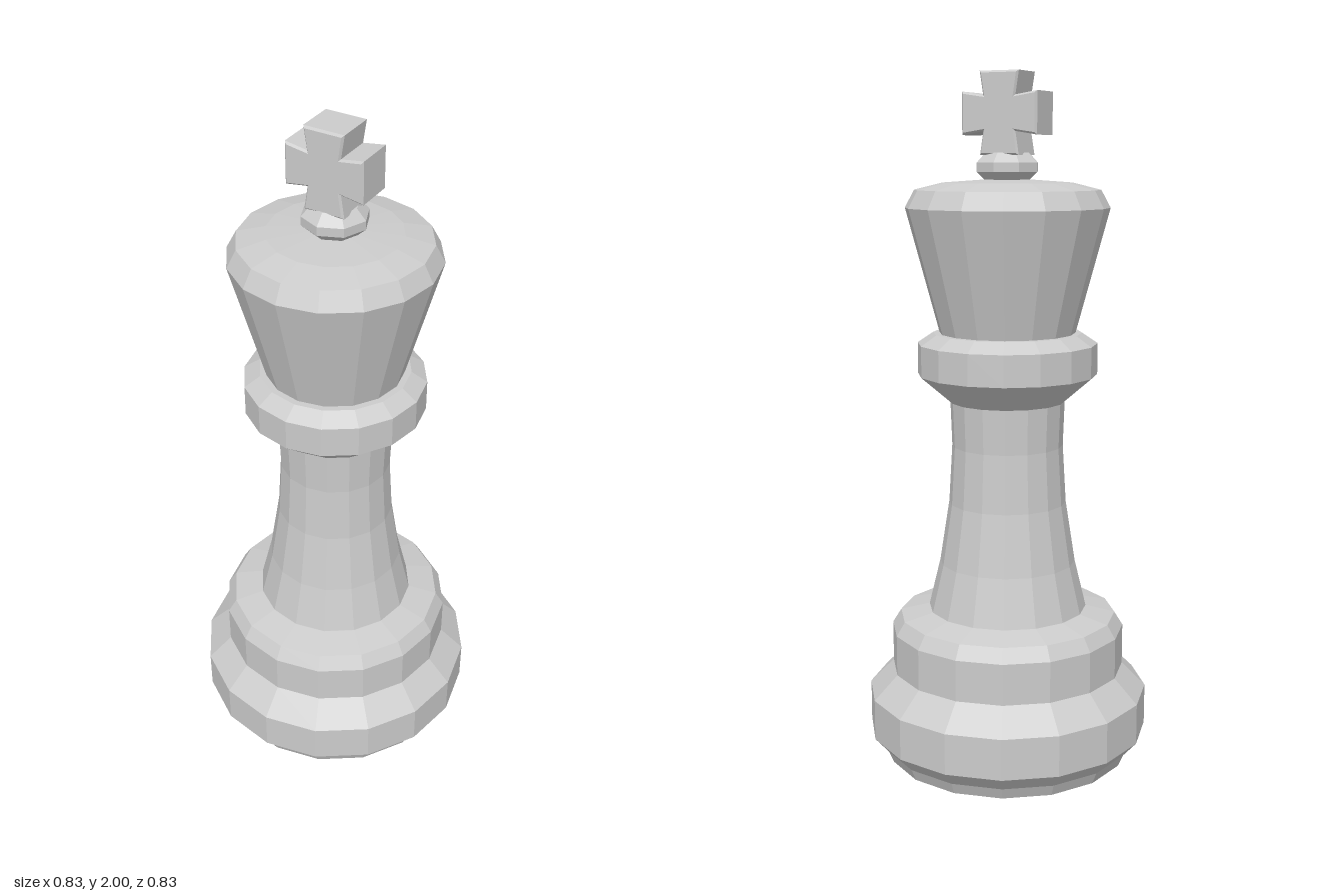
import * as THREE from 'three';

const material = new THREE.MeshStandardMaterial({ color: 0xcccccc, flatShading: true });

// Faceted turned part from [radius, height] pairs, listed bottom to top
function turned(name, profile, sides = 16) {
  const points = profile.map(([r, y]) => new THREE.Vector2(r, y));
  const mesh = new THREE.Mesh(new THREE.LatheGeometry(points, sides), material);
  mesh.name = name;
  return mesh;
}

// Cross with flared arms and a narrow bevel all round
function cross() {
  const bevel = 0.006, depth = 0.12;
  const arm = [[0.043, 0.043], [0.053, 0.109], [-0.053, 0.109]];
  const points = [];
  for (let i = 0; i < 4; i++) {
    const a = i * Math.PI / 2, c = Math.cos(a), s = Math.sin(a);
    for (const [x, y] of arm) points.push(new THREE.Vector2(x * c - y * s, x * s + y * c));
  }
  const geometry = new THREE.ExtrudeGeometry(new THREE.Shape(points), {
    depth: depth - 2 * bevel, bevelEnabled: true, bevelThickness: bevel,
    bevelSize: bevel, bevelSegments: 1,
  });
  geometry.translate(0, 0, bevel - depth / 2);
  const mesh = new THREE.Mesh(geometry, material);
  mesh.name = 'cross';
  mesh.position.y = 1.885;
  return mesh;
}

export function createModel() {
  const king = new THREE.Group();
  king.name = 'chessKing';
  king.add(
    // Wide foot and the step above it
    turned('base', [[0, 0], [0.36, 0], [0.375, 0.035], [0.415, 0.08], [0.415, 0.2], [0.345, 0.27],
      [0.345, 0.39], [0.32, 0.43], [0.235, 0.45], [0, 0.45]]),
    // Waisted column
    turned('stem', [[0.235, 0.445], [0.2, 0.59], [0.172, 0.77], [0.162, 0.94], [0.167, 1.08]]),
    turned('collar', [[0, 1.07], [0.167, 1.07], [0.26, 1.15], [0.26, 1.24], [0.215, 1.27], [0, 1.27]]),
    // Flared head with a shallow domed top
    turned('head', [[0.195, 1.265], [0.292, 1.625], [0.265, 1.675], [0.185, 1.695], [0, 1.708]]),
    turned('finialBall', [[0, 1.695], [0.065, 1.7], [0.092, 1.725], [0.092, 1.75], [0.065, 1.778], [0, 1.778]], 8),
    cross(),
  );
  return king;
}
